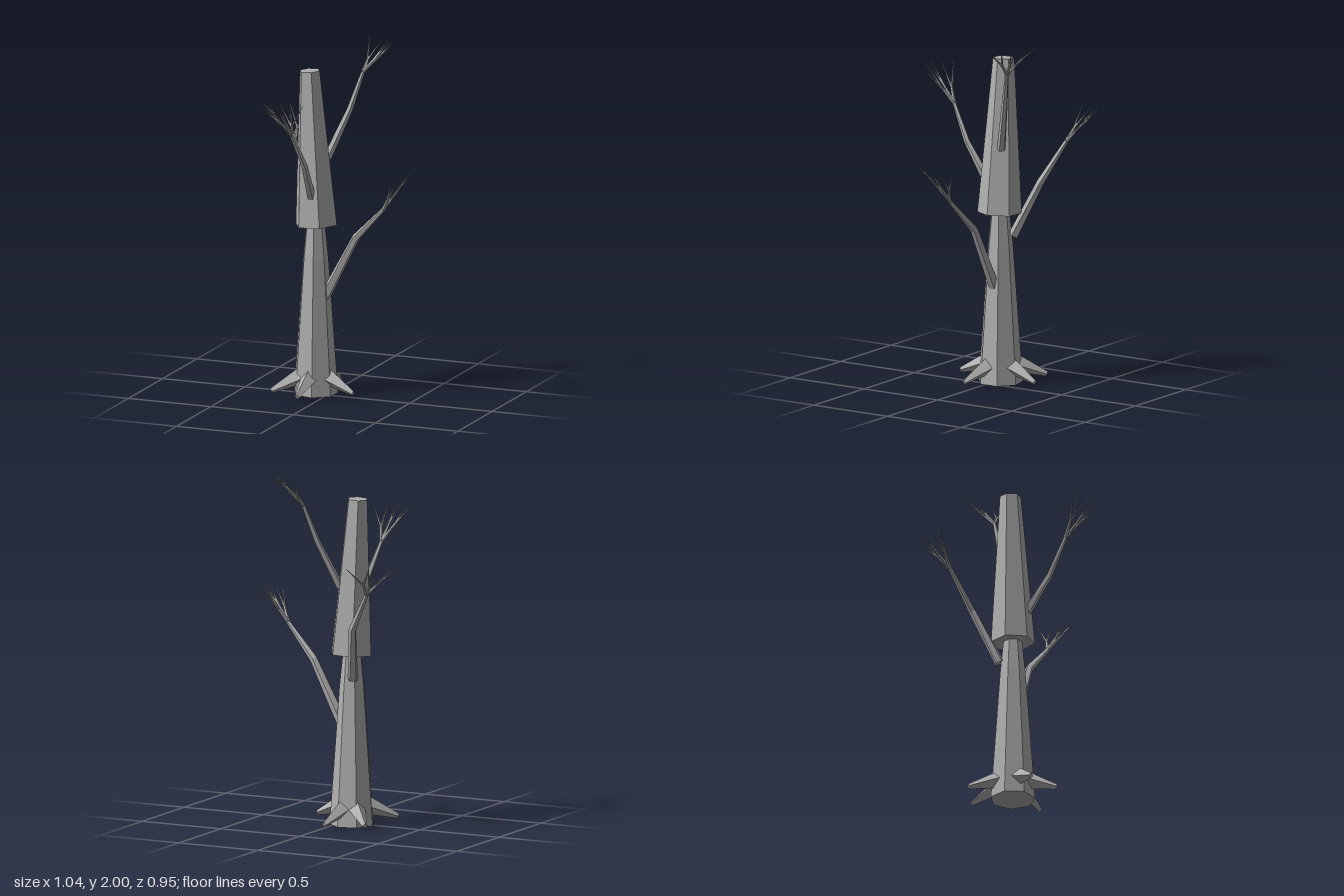
import * as THREE from 'three';

const bark = new THREE.MeshStandardMaterial({ color: 0xb0b0b0, flatShading: true });
bark.name = 'greyBark';

const V = (a) => new THREE.Vector3(...a);

// Faceted tapering limb swept through points, closed at both ends
function limb(name, pts, radii, sides) {
  const p = pts.map(V);
  const n = p.length;
  const whole = p[n - 1].clone().sub(p[0]).normalize();
  const ref = Math.abs(whole.y) > 0.95 ? V([-1, 0, 0]) : V([0, 1, 0]);
  const rings = p.map((c, i) => {
    const t = new THREE.Vector3();
    if (i > 0) t.add(c.clone().sub(p[i - 1]).normalize());
    if (i < n - 1) t.add(p[i + 1].clone().sub(c).normalize());
    t.normalize();
    const u = ref.clone().addScaledVector(t, -ref.dot(t)).normalize();
    const v = t.clone().cross(u);
    return Array.from({ length: sides }, (_, j) => {
      const a = (j / sides) * Math.PI * 2;
      return c.clone().addScaledVector(u, Math.cos(a) * radii[i]).addScaledVector(v, Math.sin(a) * radii[i]);
    });
  });
  const tris = [];
  for (let j = 0; j < sides; j++) {
    const k = (j + 1) % sides;
    for (let i = 0; i < n - 1; i++) {
      const a = rings[i][j], b = rings[i][k], c = rings[i + 1][k], d = rings[i + 1][j];
      tris.push(a, b, c, a, c, d);
    }
    tris.push(p[0], rings[0][k], rings[0][j]);
    tris.push(p[n - 1], rings[n - 1][j], rings[n - 1][k]);
  }
  const g = new THREE.BufferGeometry().setFromPoints(tris);
  g.computeVertexNormals();
  const m = new THREE.Mesh(g, bark);
  m.name = name;
  return m;
}

// Main branch, then three forks carrying two twigs each
function branch(name, pts, radii, tipY, tips) {
  const group = new THREE.Group();
  group.name = name;
  group.add(limb('bough', pts, radii, 5));
  const fork = V(pts[pts.length - 1]);
  const rEnd = radii[radii.length - 1];
  for (let i = 0; i < tips.length; i += 2) {
    const pair = tips.slice(i, i + 2).map(([x, z], k) => V([x, tipY - 0.008 * k, z]));
    const hub = pair[0].clone().add(pair[1]).multiplyScalar(0.5).lerp(fork, 0.66);
    group.add(limb('fork', [fork.toArray(), hub.toArray()], [rEnd, 0.008], 5));
    for (const tip of pair) group.add(limb('twig', [hub.toArray(), tip.toArray()], [0.007, 0.001], 4));
  }
  return group;
}

export function createModel() {
  const tree = new THREE.Group();
  tree.name = 'bareTree';
  const cx = -0.083, cz = -0.026;

  // Trunk: heptagonal lower part, wider leaning hexagonal upper part
  tree.add(limb('lowerTrunk', [[cx, 0, cz], [cx, 0.78, cz], [cx, 1.05, cz]], [0.128, 0.073, 0.046], 7));
  tree.add(limb('upperTrunk', [[-0.077, 0.973, cz], [-0.117, 1.857, cz]], [0.125, 0.06], 6));

  // Roots, by heading in degrees from +x toward +z
  for (const deg of [90, 15, 136.5, 226.6, 278.6]) {
    const a = (deg * Math.PI) / 180;
    const at = (r, y) => [cx + r * Math.cos(a), y, cz + r * Math.sin(a)];
    tree.add(limb('root', [at(0.06, 0.115), at(0.265, 0.035)], [0.056, 0.015], 4));
  }

  // Branches
  tree.add(branch('leftBranch',
    [[-0.03, 0.55, -0.025], [0.165, 0.92, -0.02], [0.35, 1.11, 0.02]], [0.032, 0.023, 0.012], 1.325,
    [[0.478, -0.094], [0.49, -0.01], [0.52, 0.036], [0.5, 0.065], [0.494, 0.117], [0.456, 0.16]]));
  tree.add(branch('frontBranch',
    [[-0.075, 1.14, 0.05], [-0.062, 1.36, 0.185], [-0.095, 1.56, 0.295]], [0.026, 0.018, 0.011], 1.775,
    [[-0.245, 0.4], [-0.19, 0.447], [-0.128, 0.472], [-0.1, 0.472], [-0.055, 0.467], [0.03, 0.425]]));
  tree.add(branch('backLeftBranch',
    [[-0.03, 1.35, -0.07], [0.07, 1.62, -0.16], [0.128, 1.83, -0.215]], [0.025, 0.018, 0.011], 2.0,
    [[0.097, -0.39], [0.18, -0.378], [0.23, -0.353], [0.25, -0.33], [0.283, -0.283], [0.3, -0.197]]));
  tree.add(branch('backRightBranch',
    [[-0.12, 0.84, -0.09], [-0.19, 1.15, -0.225], [-0.325, 1.375, -0.31]], [0.03, 0.022, 0.012], 1.55,
    [[-0.52, -0.29], [-0.503, -0.355], [-0.467, -0.42], [-0.4, -0.43], [-0.417, -0.458], [-0.283, -0.475]]));

  return tree;
}
